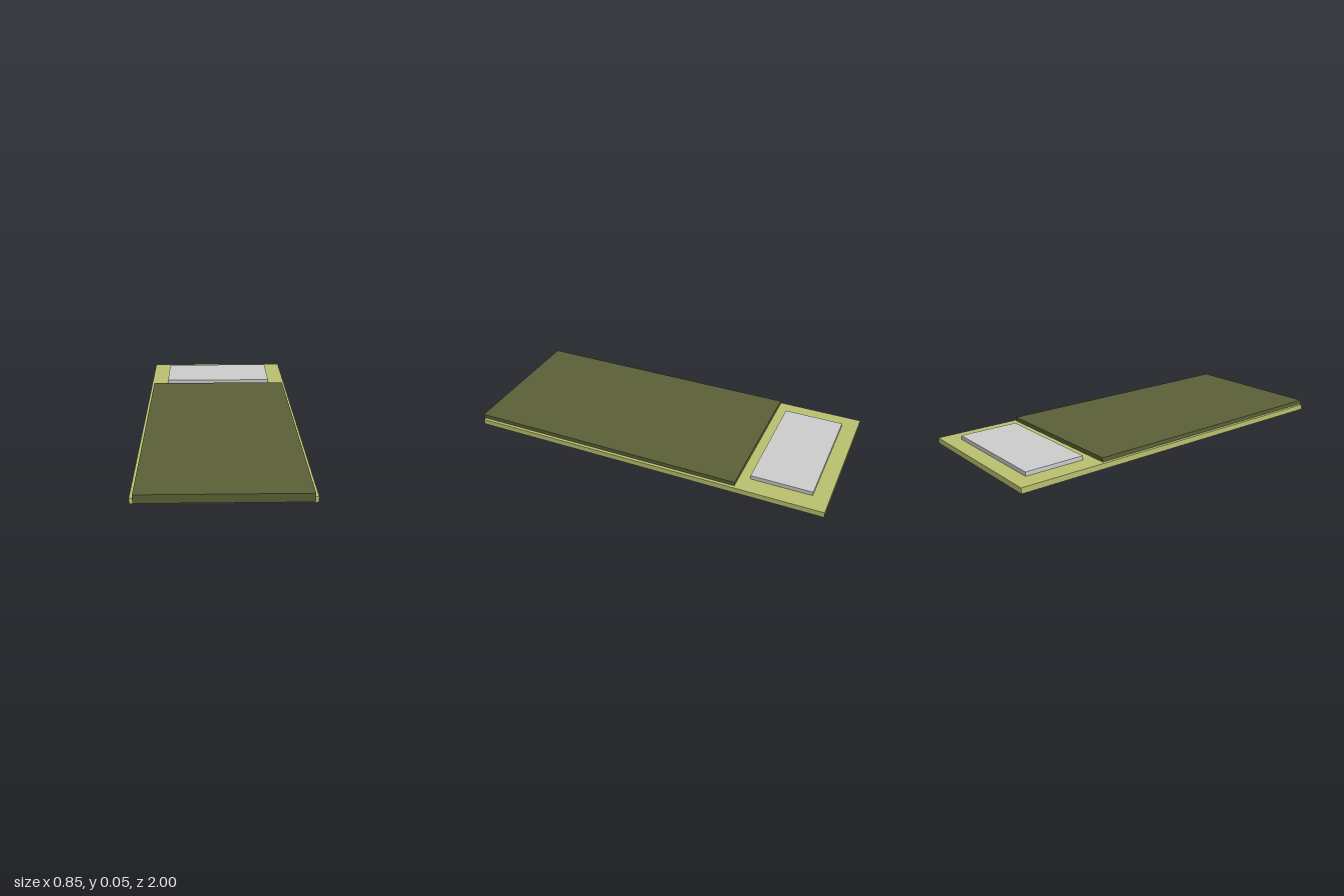
import * as THREE from 'three';

const material = (color) => new THREE.MeshStandardMaterial({ color });

// Box given by its minimum and maximum corners
function slab(name, mat, [x0, y0, z0], [x1, y1, z1]) {
  const mesh = new THREE.Mesh(new THREE.BoxGeometry(x1 - x0, y1 - y0, z1 - z0), mat);
  mesh.position.set((x0 + x1) / 2, (y0 + y1) / 2, (z0 + z1) / 2);
  mesh.name = name;
  return mesh;
}

export function createModel() {
  const model = new THREE.Group();
  model.name = 'bedroll';

  // Sleeping mat lying on the ground
  model.add(slab('mat', material(0xb8c06e), [-0.427, 0, -1], [0.427, 0.03, 0.99]));

  // Pillow at the back end
  model.add(slab('pillow', material(0xcccccc), [-0.325, 0.03, -0.915], [0.325, 0.052, -0.587]));

  // Blanket with an L-shaped side profile, folded down over the foot of the mat
  const profile = new THREE.Shape([
    [-0.53, 0.03], [0.99, 0.03], [0.99, 0.008], [1, 0.008], [1, 0.052], [-0.53, 0.052],
  ].map(([z, y]) => new THREE.Vector2(-z, y)));
  const geometry = new THREE.ExtrudeGeometry(profile, { depth: 0.82, bevelEnabled: false });
  geometry.translate(0, 0, -0.41).rotateY(Math.PI / 2);
  const blanket = new THREE.Mesh(geometry, material(0x5a6038));
  blanket.name = 'blanket';
  model.add(blanket);

  return model;
}
